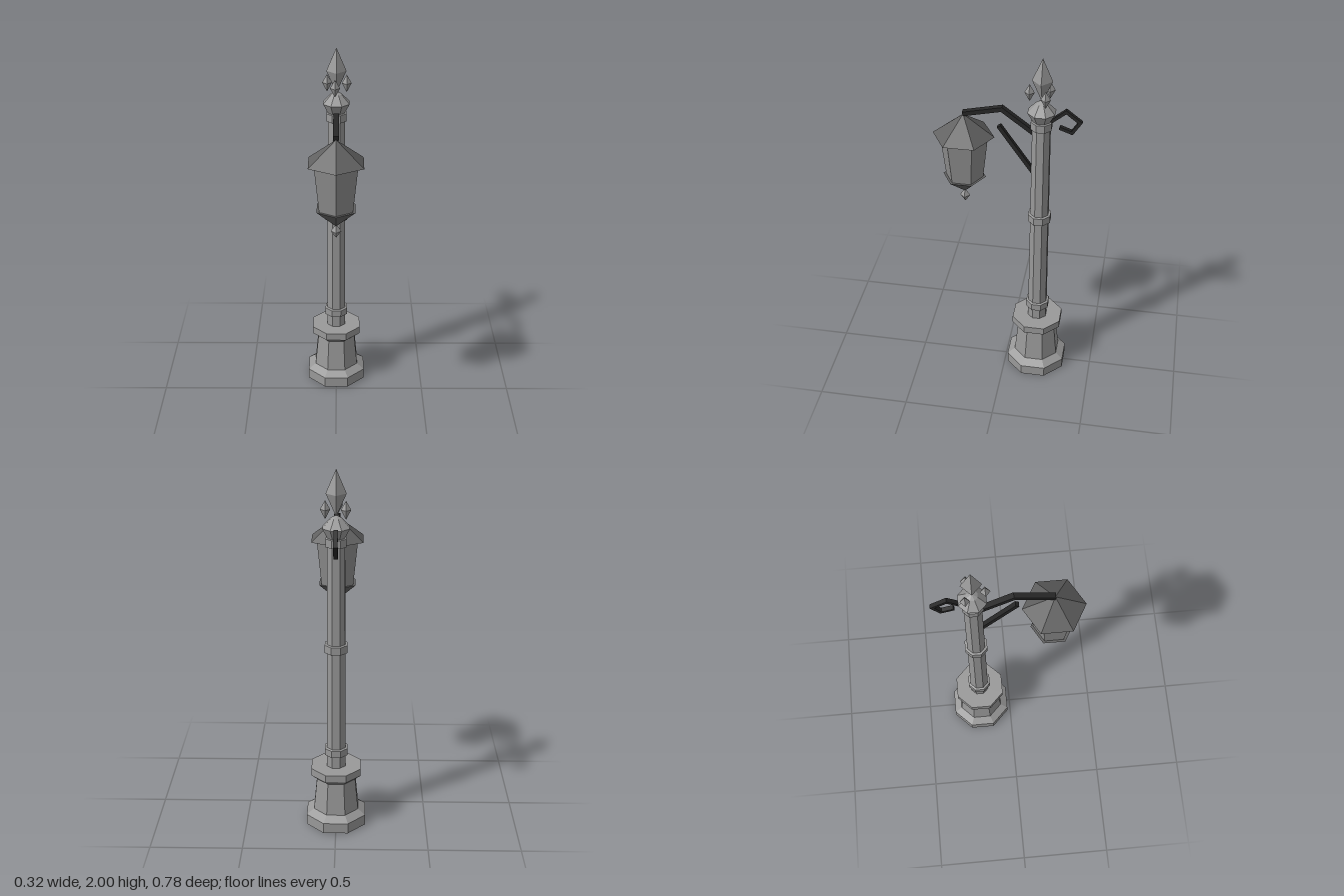
import * as THREE from 'three';

const POST_Z = -0.18, LAMP_Z = 0.227;

export function createModel() {
  const model = new THREE.Group();
  model.name = 'streetLamp';
  const mat = (name, color, side = THREE.FrontSide) =>
    new THREE.MeshStandardMaterial({ name, color, side, flatShading: true });
  const stone = mat('postGrey', 0x999999, THREE.DoubleSide);
  const glass = mat('paneGrey', 0x8e8e8e);
  const roofGrey = mat('roofGrey', 0x626262);
  const iron = mat('darkIron', 0x262626);

  function add(name, geometry, material, x = 0, y = 0, z = 0) {
    const mesh = new THREE.Mesh(geometry, material);
    mesh.name = name;
    mesh.position.set(x, y, z);
    model.add(mesh);
    return mesh;
  }

  // Faceted turned part; profile is [radius, y] from bottom to top
  function turned(profile, sides, start = 0) {
    return new THREE.LatheGeometry(
      profile.map(([r, y]) => new THREE.Vector2(r, y)), sides, start);
  }

  // Octagonal post part, with radii measured to the flat faces
  function octagon(name, profile) {
    const k = 1 / Math.cos(Math.PI / 8);
    add(name, turned(profile.map(([r, y]) => [r * k, y]), 8, Math.PI / 8), stone, 0, 0, POST_Z);
  }

  // Four-sided diamond: r wide, from bottom through the widest height to the top
  function diamond(name, r, bottom, middle, top, x, z) {
    add(name, turned([[0, bottom], [r, middle], [0, top]], 4), stone, x, 0, z);
  }

  // Mitred flat bar following [z, y] points
  function bar(name, points, thick, width) {
    const p = points.map(([z, y]) => new THREE.Vector2(z, y));
    const left = [], right = [];
    p.forEach((v, i) => {
      const a = p[Math.max(i - 1, 0)], b = p[Math.min(i + 1, p.length - 1)];
      const d1 = (i ? v.clone().sub(a) : b.clone().sub(v)).normalize();
      const d2 = (i < p.length - 1 ? b.clone().sub(v) : d1.clone()).normalize();
      const n1 = new THREE.Vector2(-d1.y, d1.x), n2 = new THREE.Vector2(-d2.y, d2.x);
      const n = n1.clone().add(n2).normalize();
      n.multiplyScalar(thick / 2 / n.dot(n1));
      left.push(v.clone().add(n));
      right.unshift(v.clone().sub(n));
    });
    const g = new THREE.ExtrudeGeometry(new THREE.Shape([...left, ...right]),
      { depth: width, bevelEnabled: false });
    g.translate(0, 0, -width / 2).rotateY(-Math.PI / 2);
    add(name, g, iron);
  }

  // Post: hollow pedestal, shaft, rings and cap
  octagon('pedestal', [[0.162, 0], [0.162, 0.06], [0.122, 0.09], [0.105, 0.275],
    [0.135, 0.302], [0.135, 0.345], [0.04, 0.345]]);
  octagon('shaft', [[0.051, 0.345], [0.046, 1.6]]);
  octagon('lowerRing', [[0.046, 0.41], [0.062, 0.415], [0.062, 0.455], [0.046, 0.46]]);
  octagon('middleRing', [[0.046, 1.02], [0.06, 1.022], [0.06, 1.065], [0.046, 1.068]]);
  octagon('topRing', [[0.044, 1.6], [0.053, 1.602], [0.053, 1.645], [0.04, 1.648]]);
  octagon('cap', [[0.043, 1.645], [0.07, 1.7], [0.028, 1.748], [0, 1.765]]);

  // Finials above the cap
  diamond('topFinial', 0.053, 1.755, 1.875, 2, 0, POST_Z);
  [[-0.05, -0.215], [0.055, -0.205], [-0.007, -0.115]].forEach(([x, z], i) =>
    diamond('smallFinial' + (i + 1), 0.026, 1.75, 1.8, 1.847, x, z));

  // Hexagonal lantern
  add('lanternRoof', turned([[0, 1.52], [0.163, 1.52], [0, 1.645]], 6), roofGrey, 0, 0, LAMP_Z);
  add('lanternPanes', turned([[0.1, 1.265], [0.129, 1.522]], 6), glass, 0, 0, LAMP_Z);
  add('lanternBottom', turned([[0, 1.165], [0.115, 1.268], [0, 1.268]], 6), roofGrey, 0, 0, LAMP_Z);
  diamond('lanternFinial', 0.028, 1.1, 1.138, 1.178, 0, LAMP_Z);

  // Ironwork: arm, brace and rear scroll
  bar('arm', [[0.227, 1.652], [0.025, 1.698], [-0.142, 1.572]], 0.024, 0.03);
  bar('brace', [[0.04, 1.595], [-0.142, 1.33]], 0.022, 0.026);
  bar('rearScroll', [[-0.225, 1.645], [-0.305, 1.712], [-0.378, 1.655],
    [-0.338, 1.592], [-0.273, 1.616]], 0.017, 0.022);

  return model;
}
